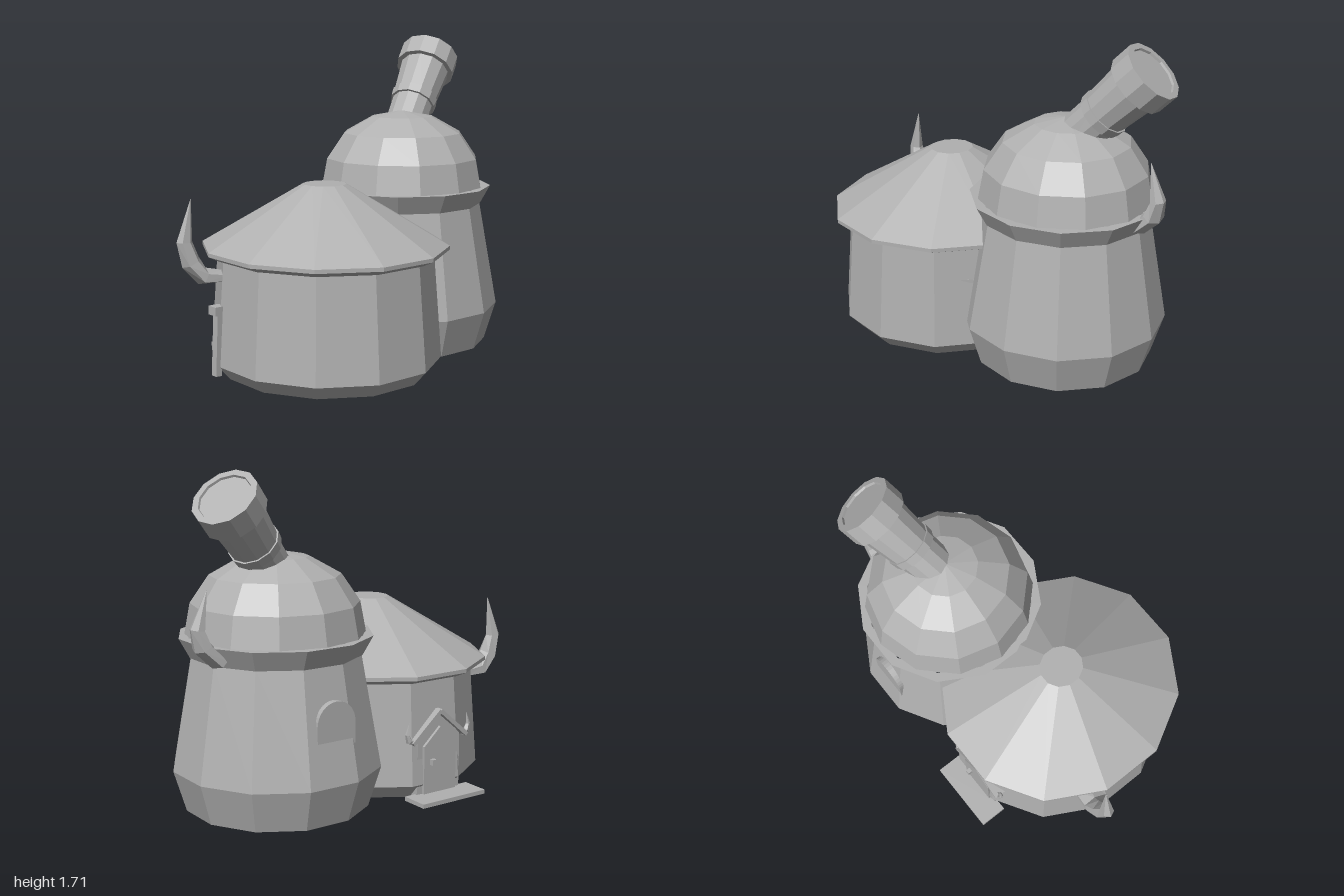
import * as THREE from 'three';

export function createModel() {
  const model = new THREE.Group();
  const stone = new THREE.MeshStandardMaterial({ color: 0xb0b0b0 });
  stone.name = 'plain grey';
  stone.flatShading = true;
  stone.side = THREE.DoubleSide; // the buildings are open shells underneath

  const add = (name, geometry, parent = model) => {
    const mesh = new THREE.Mesh(geometry, stone);
    mesh.name = name;
    parent.add(mesh);
    return mesh;
  };
  const group = (name, x = 0, y = 0, z = 0, turn = 0, parent = model) => {
    const g = new THREE.Group();
    g.name = name;
    g.position.set(x, y, z);
    g.rotation.y = turn;
    parent.add(g);
    return g;
  };
  const box = (name, size, pos, parent) =>
    add(name, new THREE.BoxGeometry(...size), parent).position.set(...pos);

  // Faceted solid of revolution; profile runs from bottom to top
  const turned = (profile, sides, flatFront = false) => {
    const k = flatFront ? 1 / Math.cos(Math.PI / sides) : 1;
    const pts = profile.map(([r, y]) => new THREE.Vector2(r * k, y));
    const g = new THREE.LatheGeometry(pts, sides);
    if (flatFront) g.rotateY(Math.PI / sides);
    return g;
  };

  // Curved horn in the xy plane; each section is [out, up, thickness, width]
  const hornGeometry = (sections, n = 6) => {
    const pos = [], index = [];
    sections.forEach(([x, y, r, w], i) => {
      const a = sections[Math.max(i - 1, 0)], b = sections[Math.min(i + 1, sections.length - 1)];
      const len = Math.hypot(b[0] - a[0], b[1] - a[1]);
      const tx = (b[0] - a[0]) / len, ty = (b[1] - a[1]) / len;
      for (let j = 0; j < n; j++) {
        const t = (j / n) * Math.PI * 2, c = Math.cos(t) * r;
        pos.push(x - ty * c, y + tx * c, Math.sin(t) * w);
        if (i < sections.length - 1) {
          const p = i * n + j, q = i * n + (j + 1) % n;
          index.push(p, q, p + n, q, q + n, p + n);
        }
      }
    });
    for (let j = 1; j < n - 1; j++) index.push(0, j + 1, j);
    const g = new THREE.BufferGeometry();
    g.setAttribute('position', new THREE.Float32BufferAttribute(pos, 3));
    g.setIndex(index);
    g.computeVertexNormals();
    return g;
  };

  const plate = (shape, depth) => new THREE.ExtrudeGeometry(shape, { depth, bevelEnabled: false, curveSegments: 8 });

  // Low hut, slightly deeper than wide, open below
  const hut = group('hut', -0.262, 0, 0.042);
  hut.scale.z = 1.06;
  add('hutWall', turned([[0.505, 0], [0.568, 0.075], [0.53, 0.615]], 12, true), hut);
  add('hutRoof', turned([[0.528, 0.612], [0.548, 0.612], [0.604, 0.64], [0.604, 0.66], [0.106, 0.972], [0, 0.972]], 12, true), hut);

  // Tower with flared collar and dome, open below
  const tower = group('tower', 0.45, 0, -0.148);
  add('towerWall', turned([[0.457, 0], [0.519, 0.21], [0.42, 0.785]], 12, true), tower);
  add('towerCollar', turned([[0.42, 0.78], [0.425, 0.78], [0.478, 0.88], [0.43, 0.88]], 12, true), tower);
  add('dome', turned([[0.455, 0.875], [0.425, 1.035], [0.33, 1.175], [0.17, 1.265], [0, 1.298]], 12), tower);

  // Telescope, its origin at the open end
  const scope = group('telescope', 0.84, 1.59, -0.335);
  scope.quaternion.setFromUnitVectors(new THREE.Vector3(0, 1, 0), new THREE.Vector3(0.635, 0.712, -0.29).normalize());
  add('telescopeTube', turned([[0.113, -0.54], [0.117, -0.34], [0.124, -0.34], [0.142, -0.1]], 12), scope);
  add('telescopeBand', turned([[0.11, -0.38], [0.129, -0.38], [0.133, -0.33], [0.11, -0.33]], 12), scope);
  add('telescopeHood', turned([[0.13, -0.12], [0.167, -0.12], [0.167, 0], [0.135, 0], [0.132, -0.012], [0, -0.012]], 12), scope);

  // Large horns
  add('hutHorn', hornGeometry([[-0.02, 0.525, 0.03, 0.085], [0.085, 0.535, 0.045, 0.075],
    [0.145, 0.61, 0.05, 0.055], [0.176, 0.715, 0.042, 0.035], [0.138, 0.93, 0.001, 0.001]]),
    group('hutHornMount', -0.78, 0, -0.178, Math.PI - 0.18));
  add('towerHorn', hornGeometry([[0.01, 0.805, 0.04, 0.085], [0.092, 0.885, 0.045, 0.066],
    [0.115, 0.97, 0.037, 0.045], [0.06, 1.155, 0.001, 0.001]]),
    group('towerHornMount', 0.85, 0, -0.275, 0.05));

  // Gabled doorway at the back of the hut; local +z points outward
  const doorway = group('doorway', -0.285, 0, -0.5, Math.PI);
  const gable = (w, side, peak) => new THREE.Shape([[-w, 0], [w, 0], [w, side], [0, peak], [-w, side]]
    .map(([x, y]) => new THREE.Vector2(x, y)));
  add('doorFrame', plate(gable(0.14, 0.31, 0.43), 0.05), doorway);
  add('door', plate(gable(0.105, 0.275, 0.37), 0.065), doorway);
  box('doorKnob', [0.025, 0.03, 0.03], [-0.055, 0.19, 0.075], doorway);
  box('doorstep', [0.41, 0.022, 0.15], [0, 0.011, 0.11], doorway);
  for (const s of [1, -1]) {
    const beam = add('gableBeam', new THREE.BoxGeometry(0.235, 0.022, 0.07), doorway);
    beam.position.set(s * 0.088, 0.376, 0.035);
    beam.rotation.z = -s * 0.71;
    add('gableHorn', hornGeometry([[0, 0.305, 0.018, 0.018], [0.03, 0.315, 0.018, 0.018],
      [0.042, 0.35, 0.012, 0.012], [0.03, 0.41, 0.001, 0.001]], 5),
      group('gableHornMount', s * 0.16, 0, 0.045, s > 0 ? 0 : Math.PI, doorway));
  }

  // Arched window on the back of the tower
  const arch = new THREE.Shape();
  arch.moveTo(-0.11, 0.4);
  arch.lineTo(0.11, 0.4);
  arch.lineTo(0.11, 0.51);
  arch.absarc(0, 0.51, 0.11, 0, Math.PI, false);
  add('towerWindow', plate(arch, 0.08), group('towerWindowMount', 0.415, 0, -0.55, Math.PI));

  // Framed window set into the hut wall beside the tower
  const side = group('hutWindow', 0.205, 0.31, 0.305, Math.PI / 3);
  box('windowPane', [0.15, 0.24, 0.015], [0, 0, 0], side);
  for (const s of [1, -1]) {
    box('windowPost', [0.02, 0.26, 0.03], [s * 0.075, 0, 0], side);
    box('windowRail', [0.17, 0.02, 0.03], [0, s * 0.12, 0], side);
  }

  // Narrow post and bracket below the hut horn
  const post = add('wallPost', new THREE.BoxGeometry(0.035, 0.34, 0.04));
  post.position.set(-0.83, 0.2, -0.115);
  post.rotation.z = -0.05;
  box('wallBracket', [0.06, 0.045, 0.06], [-0.824, 0.365, -0.125]);

  return model;
}
